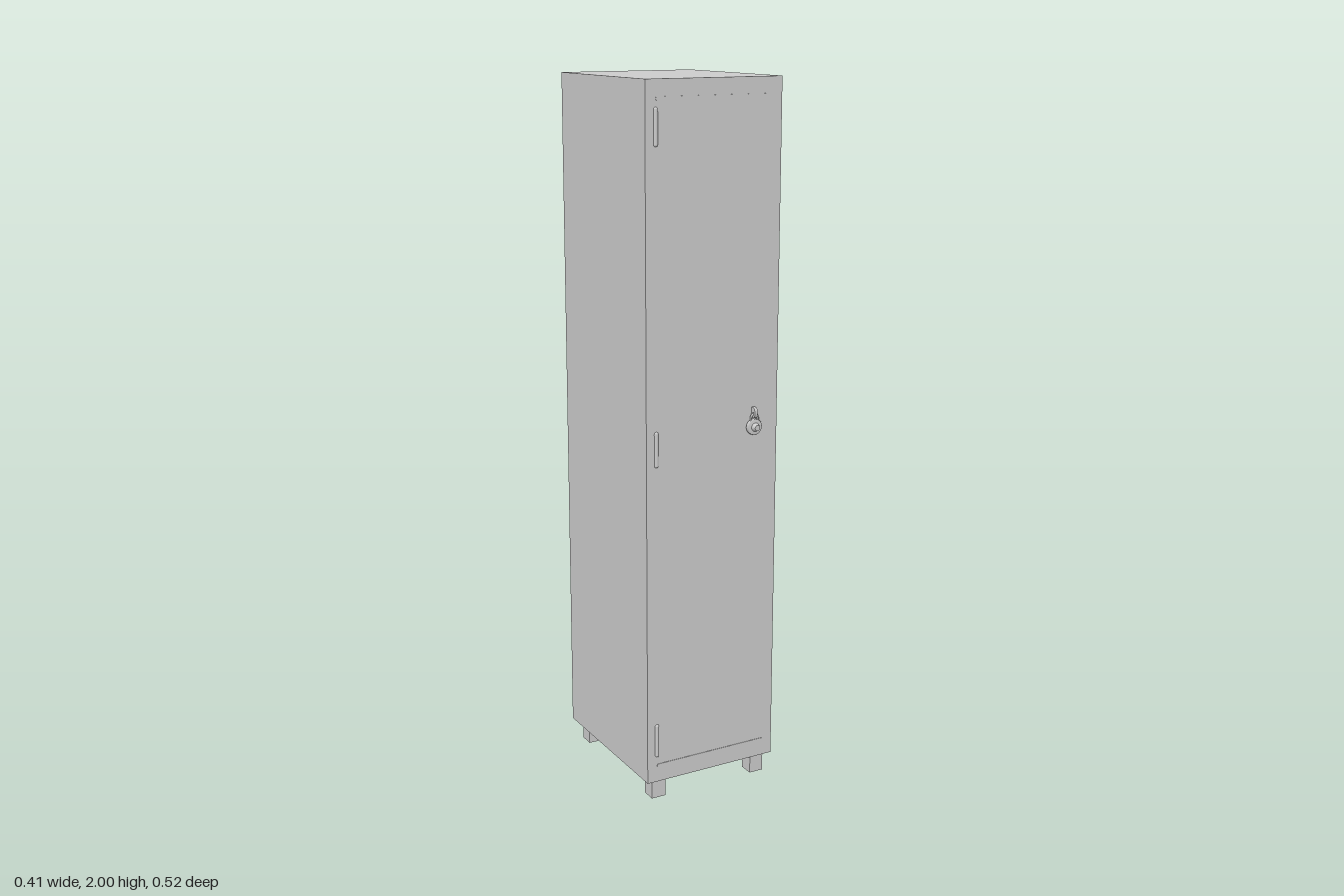
import * as THREE from 'three';

export function createModel() {
  const group = new THREE.Group();
  group.name = 'locker';
  const material = new THREE.MeshStandardMaterial({ color: 0xcccccc });
  const faceZ = 0.23;

  function add(name, geometry, x, y, z, parent = group) {
    const mesh = new THREE.Mesh(geometry, material);
    mesh.name = name;
    mesh.position.set(x, y, z);
    parent.add(mesh);
    return mesh;
  }

  // Cabinet
  add('cabinet', new THREE.BoxGeometry(0.41, 1.946, 0.49), 0, 1.027, -0.015);

  // Four square feet
  for (const x of [-0.166, 0.16]) {
    for (const z of [-0.201, 0.201]) {
      add('foot', new THREE.BoxGeometry(0.043, 0.056, 0.043), x, 0.028, z);
    }
  }

  // Thin round-ended trim strips at the door's top and bottom
  const half = 0.17, r = 0.005;
  const strip = new THREE.Shape();
  strip.absarc(half, 0, r, -Math.PI / 2, Math.PI / 2, false);
  strip.absarc(-half, 0, r, Math.PI / 2, Math.PI * 1.5, false);
  strip.closePath();
  const stripGeometry = new THREE.ExtrudeGeometry(strip, { depth: 0.002, bevelEnabled: false, curveSegments: 8 });
  for (const y of [1.951, 0.103]) add('doorTrim', stripGeometry, 0, y, faceZ - 0.0005);

  // Hinge barrels
  const hinge = new THREE.CapsuleGeometry(0.006, 0.088, 4, 12);
  for (const y of [1.88, 1.03, 0.18]) add('hinge', hinge, -0.175, y, faceZ);

  // Padlock with dial, shackle and hasp
  const lock = new THREE.Group();
  lock.name = 'padlock';
  lock.position.set(0.127, 1.058, faceZ);
  group.add(lock);

  const body = new THREE.LatheGeometry([
    [0, 0.002], [0.021, 0.002], [0.023, 0.004], [0.023, 0.012], [0.021, 0.015], [0, 0.015],
  ].map(([x, y]) => new THREE.Vector2(x, y)), 24);
  body.rotateX(Math.PI / 2);
  add('lockBody', body, 0, 0, 0, lock);

  const dial = new THREE.CylinderGeometry(0.008, 0.013, 0.014, 16);
  dial.rotateX(Math.PI / 2);
  add('lockDial', dial, 0, 0, 0.02, lock);

  // Shackle: two legs joined by an arch
  const arch = [new THREE.Vector3(-0.011, 0.014, 0)];
  for (let i = 0; i <= 8; i++) {
    const a = Math.PI * (1 - i / 8);
    arch.push(new THREE.Vector3(0.011 * Math.cos(a), 0.026 + 0.011 * Math.sin(a), 0));
  }
  arch.push(new THREE.Vector3(0.011, 0.014, 0));
  add('shackle', new THREE.TubeGeometry(new THREE.CatmullRomCurve3(arch), 24, 0.003, 8), 0, 0, 0.009, lock);

  // Hasp: rounded tab standing out from the door, pierced for the shackle
  const tab = new THREE.Shape();
  tab.moveTo(0, 0.026);
  tab.lineTo(0.012, 0.026);
  tab.quadraticCurveTo(0.019, 0.028, 0.019, 0.038);
  tab.quadraticCurveTo(0.019, 0.052, 0.012, 0.055);
  tab.lineTo(0, 0.055);
  tab.closePath();
  const hole = new THREE.Path();
  hole.absarc(0.009, 0.037, 0.004, 0, Math.PI * 2, true);
  tab.holes.push(hole);
  const tabGeometry = new THREE.ExtrudeGeometry(tab, { depth: 0.009, bevelEnabled: false, curveSegments: 6 });
  tabGeometry.translate(0, 0, -0.0045);
  tabGeometry.rotateY(-Math.PI / 2);
  add('hasp', tabGeometry, 0, 0, 0, lock);

  return group;
}
